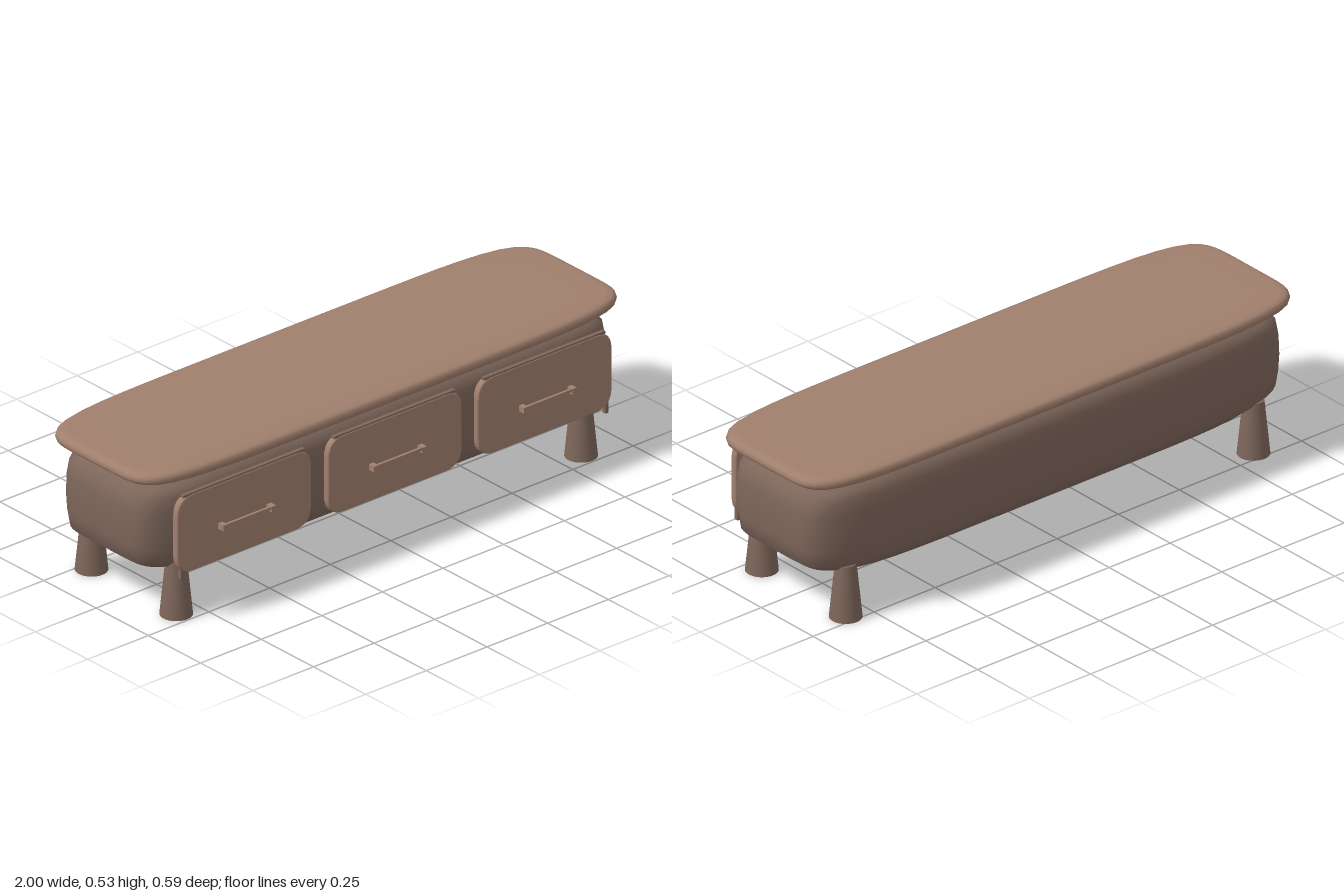
import * as THREE from 'three';

const light = new THREE.MeshStandardMaterial({ color: 0xa07f6d });
light.name = 'light wood';
const dark = new THREE.MeshStandardMaterial({ color: 0x7d665a });
dark.name = 'dark wood';

const CENTER_Z = -0.012;

// Stack of rounded-rectangle rings [y, halfWidth, halfDepth], bottom to top
function loft(rings, power, segments = 96) {
  const pos = [], index = [];
  for (const [y, a, b] of rings) {
    for (let i = 0; i < segments; i++) {
      const t = (i / segments) * Math.PI * 2;
      const c = Math.cos(t), s = Math.sin(t);
      const r = (Math.abs(c) ** power + Math.abs(s) ** power) ** (-1 / power);
      pos.push(a * r * c, y, b * r * s + CENTER_Z);
    }
  }
  for (let j = 0; j < rings.length - 1; j++) {
    for (let i = 0; i < segments; i++) {
      const n = (i + 1) % segments;
      const p = j * segments + i, q = j * segments + n;
      index.push(p, p + segments, q, q, p + segments, q + segments);
    }
  }
  const g = new THREE.BufferGeometry();
  g.setAttribute('position', new THREE.Float32BufferAttribute(pos, 3));
  g.setIndex(index);
  g.computeVertexNormals();
  return g;
}

function add(parent, name, geometry, material, x = 0, y = 0, z = 0) {
  const mesh = new THREE.Mesh(geometry, material);
  mesh.name = name;
  mesh.position.set(x, y, z);
  parent.add(mesh);
  return mesh;
}

// Rounded panel with a soft edge, back face on z = 0
function panel(w, h, r, depth, bevel) {
  const x = w / 2 - bevel, y = h / 2 - bevel;
  const s = new THREE.Shape();
  s.moveTo(-x + r, -y);
  s.lineTo(x - r, -y);
  s.quadraticCurveTo(x, -y, x, -y + r);
  s.lineTo(x, y - r);
  s.quadraticCurveTo(x, y, x - r, y);
  s.lineTo(-x + r, y);
  s.quadraticCurveTo(-x, y, -x, y - r);
  s.lineTo(-x, -y + r);
  s.quadraticCurveTo(-x, -y, -x + r, -y);
  const g = new THREE.ExtrudeGeometry(s, {
    depth: depth - 2 * bevel, bevelEnabled: true, bevelSize: bevel,
    bevelThickness: bevel, bevelSegments: 3, curveSegments: 8,
  });
  g.translate(0, 0, bevel);
  return g;
}

export function createModel() {
  const model = new THREE.Group();
  model.name = 'lowSideboard';

  // Pillow-shaped cabinet body
  add(model, 'body', loft([
    [0.135, 0, 0], [0.135, 0.4, 0.13], [0.138, 0.55, 0.16], [0.146, 0.74, 0.2],
    [0.16, 0.88, 0.232], [0.178, 0.935, 0.246], [0.2, 0.963, 0.256],
    [0.25, 0.971, 0.261], [0.31, 0.975, 0.263], [0.38, 0.972, 0.262],
    [0.425, 0.963, 0.259], [0.447, 0.937, 0.25], [0.465, 0.88, 0.236],
    [0.478, 0.76, 0.213], [0.485, 0.58, 0.18], [0.488, 0.38, 0.14], [0.488, 0, 0],
  ], 6), dark);

  // Overhanging top with a rounded rim
  add(model, 'top', loft([
    [0.49, 0, 0], [0.49, 0.9, 0.22], [0.49, 0.975, 0.262], [0.493, 0.988, 0.275],
    [0.5, 0.997, 0.283], [0.511, 1, 0.285], [0.522, 0.997, 0.283],
    [0.529, 0.988, 0.276], [0.533, 0.97, 0.26], [0.533, 0.9, 0.22], [0.533, 0, 0],
  ], 6.5), light);

  // Three drawers, each with a shadow strip and a bar handle
  const front = panel(0.553, 0.27, 0.06, 0.025, 0.006);
  const strip = new THREE.BoxGeometry(0.5, 0.009, 0.014);
  const bar = new THREE.BoxGeometry(0.2, 0.009, 0.009);
  const post = new THREE.BoxGeometry(0.018, 0.02, 0.027);
  for (const x of [-0.622, 0, 0.618]) {
    const drawer = new THREE.Group();
    drawer.name = 'drawer';
    drawer.position.x = x;
    add(drawer, 'drawerFront', front, light, 0, 0.316, 0.247);
    add(drawer, 'drawerStrip', strip, dark, 0, 0.45, 0.263);
    add(drawer, 'handleBar', bar, light, 0, 0.308, 0.291);
    for (const side of [-1, 1]) {
      add(drawer, 'handlePost', post, light, side * 0.1, 0.303, 0.2835);
    }
    model.add(drawer);
  }

  // Tapered legs, and small end stops below the outer drawers
  const leg = new THREE.CylinderGeometry(0.034, 0.053, 0.19, 32);
  const stop = new THREE.BoxGeometry(0.012, 0.04, 0.014);
  for (const side of [-1, 1]) {
    for (const z of [0.192, -0.213]) {
      add(model, 'leg', leg, dark, side * 0.835, 0.095, z);
    }
    add(model, 'drawerStop', stop, dark, side * 0.875, 0.183, 0.262);
  }
  return model;
}
